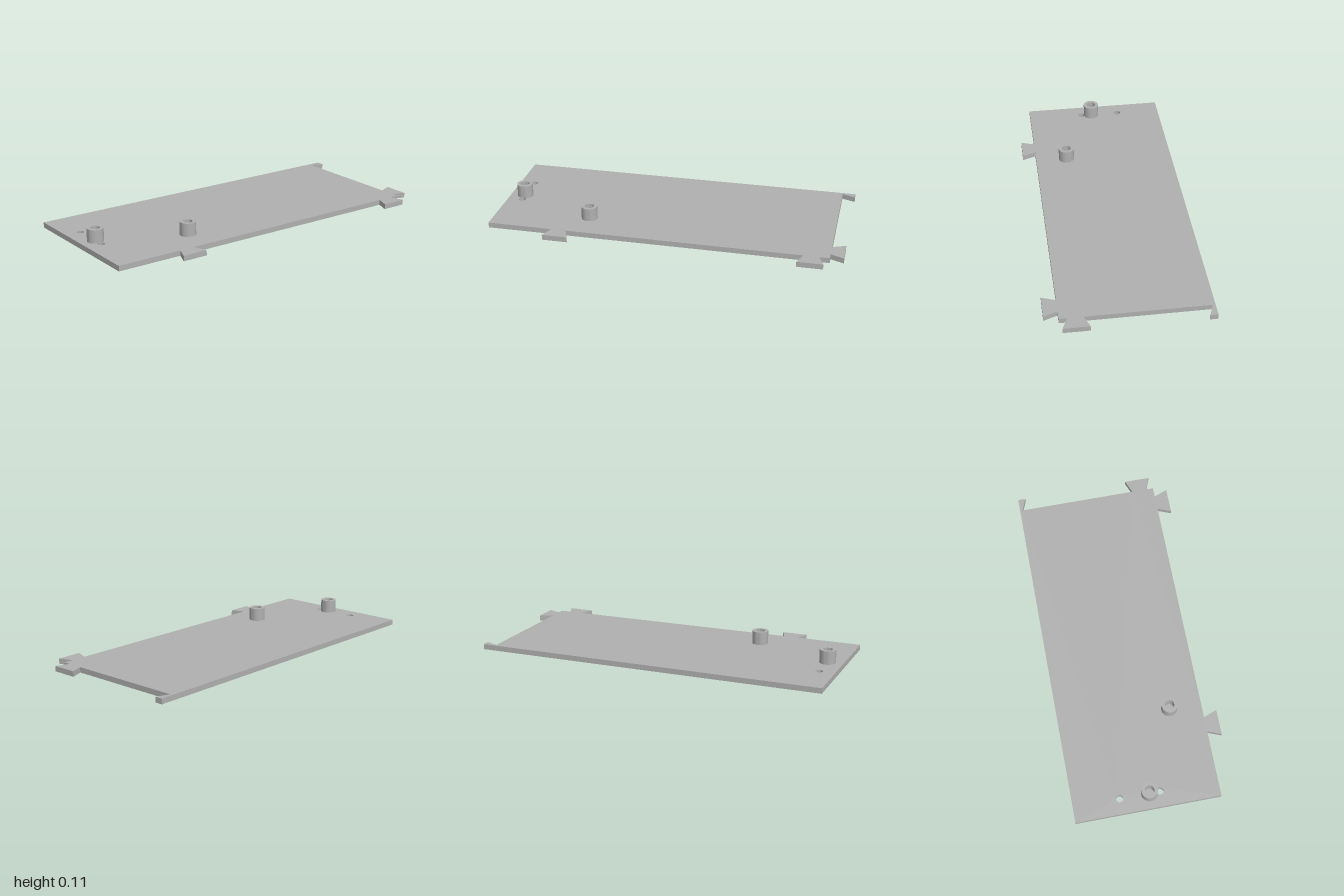
import * as THREE from 'three';
import { toCreasedNormals } from 'three/addons/utils/BufferGeometryUtils.js';

const PLATE = 0.03, TOP = 0.105, NOTCH = 0.045;
const POST_R = 0.0455, BORE_R = 0.026, HOLE_R = 0.02;

// Extrudes a plan drawn in (x, -z) upwards from y0 to y1
function slab(shape, y0, y1) {
  const g = new THREE.ExtrudeGeometry(shape, { depth: y1 - y0, bevelEnabled: false, curveSegments: 32 });
  g.rotateX(-Math.PI / 2);
  g.translate(0, y0, 0);
  return toCreasedNormals(g, 0.6);
}

function circleHole(x, z, r) {
  return new THREE.Path().absarc(x, -z, r, 0, Math.PI * 2, true);
}

export function createModel() {
  const model = new THREE.Group();
  model.name = 'mountingPlate';
  const grey = new THREE.MeshStandardMaterial({ color: 0xb0b0b0 });
  grey.name = 'grey plastic';
  const add = (parent, name, geometry) => {
    const mesh = new THREE.Mesh(geometry, grey);
    mesh.name = name;
    parent.add(mesh);
  };

  // Plate outline with dovetail tabs, as (x, z)
  const sideTab = z => [[0.37, z + 0.042], [0.447, z + 0.072], [0.447, z - 0.072], [0.37, z - 0.042]];
  const outline = [
    [-0.447, 1], [0.37, 1],
    ...sideTab(0.587), ...sideTab(-0.827),
    [0.37, -0.926],
    [0.327, -0.926], [0.357, -1], [0.212, -1], [0.242, -0.926],
    [-0.432, -0.926], [-0.403, -1], [-0.447, -1],
  ];
  const plate = new THREE.Shape(outline.map(([x, z]) => new THREE.Vector2(x, -z)));
  plate.holes.push(circleHole(-0.185, 0.913, HOLE_R), circleHole(0.042, 0.913, HOLE_R));
  add(model, 'plate', slab(plate, 0, PLATE));

  // Hollow post; the front one is relieved at its foot where the screw hole passes
  const ring = () => {
    const s = new THREE.Shape().absarc(0, 0, POST_R, 0, Math.PI * 2, false);
    s.holes.push(circleHole(0, 0, BORE_R));
    return s;
  };

  const rear = new THREE.Group();
  rear.name = 'rearPost';
  rear.position.set(0.187, 0, 0.458);
  add(rear, 'rearPostTube', slab(ring(), PLATE, TOP));

  const front = new THREE.Group();
  front.name = 'frontPost';
  front.position.set(-0.018, 0, 0.913);
  add(front, 'frontPostTube', slab(ring(), NOTCH, TOP));
  const d = 0.06;
  const a = Math.acos((d * d + POST_R ** 2 - HOLE_R ** 2) / (2 * d * POST_R));
  const b = Math.atan2(POST_R * Math.sin(a), POST_R * Math.cos(a) - d);
  const foot = new THREE.Shape();
  foot.absarc(0, 0, POST_R, a, Math.PI * 2 - a, false);
  foot.absarc(d, 0, HOLE_R, Math.PI * 2 - b, b, true);
  foot.holes.push(circleHole(0, 0, BORE_R));
  add(front, 'frontPostFoot', slab(foot, PLATE, NOTCH));

  model.add(rear, front);
  return model;
}
